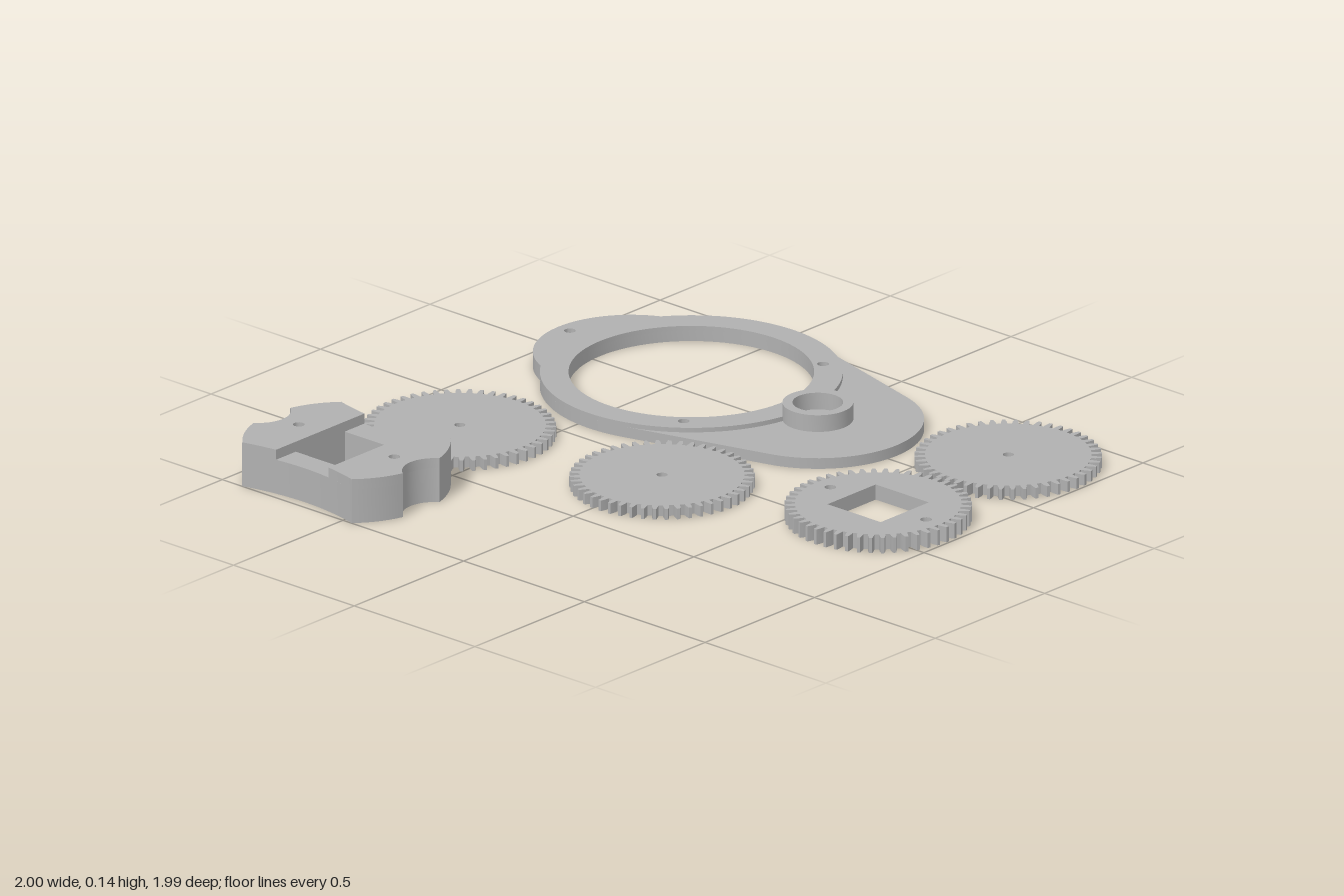
import * as THREE from 'three';
import { toCreasedNormals } from 'three/addons/utils/BufferGeometryUtils.js';

const PI = Math.PI;
const grey = new THREE.MeshStandardMaterial({ color: 0xb0b0b0 });
grey.name = 'printed grey';

// Points along an arc in the ground plane (x, z); angle PI/2 points to the front
function arc(cx, cz, r, a0, a1, n = 24) {
  return Array.from({ length: n + 1 }, (_, i) => {
    const a = a0 + (a1 - a0) * i / n;
    return new THREE.Vector2(cx + r * Math.cos(a), cz + r * Math.sin(a));
  });
}
const circle = (cx, cz, r, n = 32) => arc(cx, cz, r, 0, 2 * PI * (1 - 1 / n), n - 1);
const rect = (hx, hz) => [[-hx, -hz], [hx, -hz], [hx, hz], [-hx, hz]].map(p => new THREE.Vector2(...p));
const dedupe = pts => pts.filter((p, i) => p.distanceTo(pts[(i + 1) % pts.length]) > 1e-5);

// Vertical slab from y0 to y1 with an outline and holes
function slab(name, outline, holes, y0, y1) {
  const shape = new THREE.Shape(dedupe(outline));
  shape.holes = holes.map(h => new THREE.Path(h));
  const geo = new THREE.ExtrudeGeometry(shape, { depth: y1 - y0, bevelEnabled: false });
  geo.rotateX(PI / 2).translate(0, y1, 0);
  const mesh = new THREE.Mesh(toCreasedNormals(geo, 0.4), grey);
  mesh.name = name;
  return mesh;
}

// Spur gear outline with tapered, slightly rounded teeth
function gearOutline(teeth, outer) {
  const pts = [], step = 2 * PI / teeth, root = outer - 0.032;
  const profile = [[-0.29, root], [-0.25, outer - 0.018], [-0.13, outer], [0.13, outer], [0.25, outer - 0.018], [0.29, root]];
  for (let i = 0; i < teeth; i++) {
    for (const [t, r] of profile) {
      const a = (i + t) * step;
      pts.push(new THREE.Vector2(r * Math.cos(a), r * Math.sin(a)));
    }
  }
  return pts;
}

// Open ring plate with a top lug, a tapered tail and a raised bearing boss
function buildPlate() {
  const group = new THREE.Group();
  group.name = 'ringPlate';
  const R = 0.465, bumpR = 0.302, bumpZ = 0.249, tailR = 0.326, tailZ = 0.524, pocketR = 0.078;
  // where the lug meets the ring, and where the tail sides touch it
  const za = (bumpZ ** 2 + R ** 2 - bumpR ** 2) / (2 * bumpZ);
  const xa = Math.sqrt(R * R - za * za);
  const lugA = Math.atan2(-za, xa);
  const beta = Math.asin((R - tailR) / tailZ);
  const bumpA = Math.atan2(bumpZ - za, xa);
  const lug = arc(0, -bumpZ, bumpR, -PI - bumpA, bumpA, 40);
  const opening = circle(0, 0, 0.377, 96);
  const screws = [[0, -0.503], [0.318, 0.257], [-0.318, 0.257]].map(([x, z]) => circle(x, z, 0.018, 20));

  const base = [
    ...arc(0, 0, R, lugA, beta, 32),
    ...arc(0, tailZ, tailR, beta, PI - beta, 48),
    ...arc(0, 0, R, PI - beta, PI - lugA, 32),
    ...lug,
  ];
  const bearing = [circle(0, tailZ, 0.043), circle(0.063, tailZ, 0.0134, 16), circle(-0.063, tailZ, 0.0134, 16)];
  group.add(slab('plateBase', base, [opening, ...screws, ...bearing], 0, 0.035));

  // raised ring, cut back where the bearing pocket bites into it
  const cutR = pocketR + 0.015;
  const zc = (tailZ ** 2 + R ** 2 - cutR ** 2) / (2 * tailZ);
  const xc = Math.sqrt(R * R - zc * zc);
  const cutA = Math.atan2(zc, xc), biteA = Math.atan2(zc - tailZ, xc);
  const rim = [
    ...arc(0, 0, R, lugA, cutA, 48),
    ...arc(0, tailZ, cutR, biteA, -PI - biteA, 12),
    ...arc(0, 0, R, PI - cutA, PI - lugA, 48),
    ...lug,
  ];
  group.add(slab('raisedRing', rim, [opening, ...screws], 0.035, 0.05));
  group.add(slab('bearingBoss', circle(0, tailZ, 0.109, 48), [circle(0, tailZ, pocketR, 48)], 0.035, 0.09));
  group.position.set(0.535, 0, -0.449);
  return group;
}

// Front half of the motor block outline, starting at z = z0
function blockHalf(z0) {
  const cx = 1.035, r = 0.84, cornerR = 0.32, notchZ = 0.366, notchR = 0.101;
  const right = [
    ...arc(cx, 0, r, PI - Math.asin(z0 / r), PI - Math.asin(0.228 / r), 10),
    ...arc(0, 0, cornerR, Math.atan2(0.228, 0.227), Math.atan2(0.308, 0.083), 10),
    ...arc(0, notchZ, notchR, Math.atan2(-0.058, 0.083), -PI / 2, 8),
  ];
  const left = right.map(p => new THREE.Vector2(-p.x, p.y)).reverse();
  return [...right, ...left];
}

// Block with a square well and a channel across its top
function buildBlock() {
  const group = new THREE.Group();
  group.name = 'motorBlock';
  const front = blockHalf(0);
  const outline = [...front, ...front.map(p => new THREE.Vector2(-p.x, -p.y))];
  const screw = circle(0, 0.198, 0.018, 20);
  group.add(slab('blockBase', outline, [rect(0.112, 0.109), screw, circle(0, -0.198, 0.018, 20)], 0, 0.112));
  for (const [name, turn] of [['frontCap', 0], ['backCap', PI]]) {
    const cap = slab(name, blockHalf(0.109), [screw], 0.112, 0.145);
    cap.rotation.y = turn;
    group.add(cap);
  }
  group.position.set(-0.773, 0, -0.691);
  return group;
}

export function createModel() {
  const model = new THREE.Group();
  model.name = 'gearMechanismParts';
  model.add(buildPlate(), buildBlock());

  // three thin gears with a shaft hole, one thick gear with a square hole
  const shaft = [circle(0, 0, 0.017, 20)];
  const square = [rect(0.11, 0.11), circle(0, 0.198, 0.018, 20), circle(0, -0.198, 0.018, 20)];
  const gears = [
    ['largeGear', 50, 0.296, shaft, 0.035, -0.24, -0.705],
    ['middleGear', 48, 0.285, shaft, 0.035, -0.128, 0.031],
    ['squareHoleGear', 48, 0.288, square, 0.05, 0.115, 0.706],
    ['cornerGear', 48, 0.288, shaft, 0.035, 0.709, 0.706],
  ];
  for (const [name, teeth, outer, holes, height, x, z] of gears) {
    const gear = slab(name, gearOutline(teeth, outer), holes, 0, height);
    gear.position.set(x, 0, z);
    model.add(gear);
  }
  return model;
}
